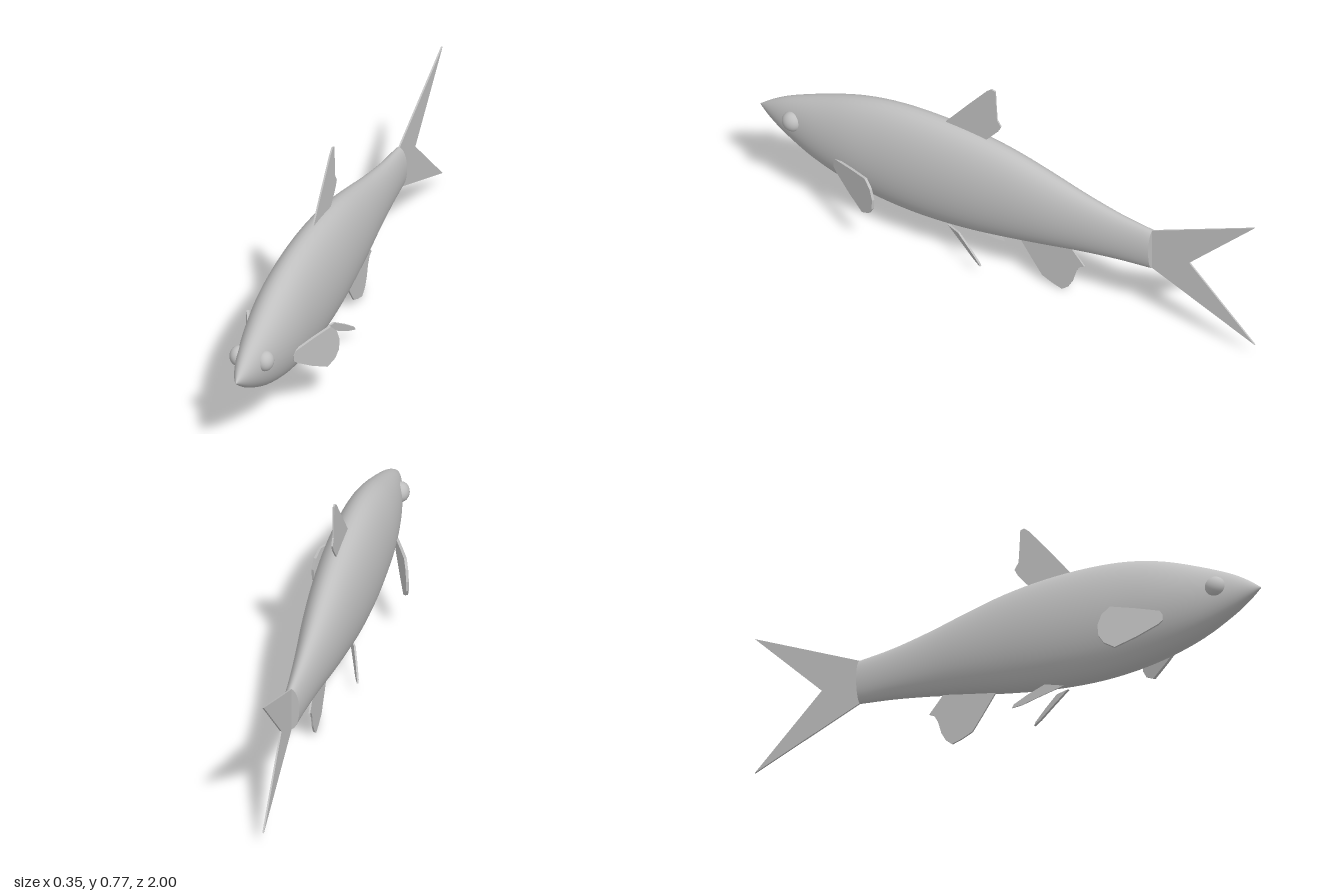
import * as THREE from 'three';

const grey = new THREE.MeshStandardMaterial({ color: 0xc0c0c0 });
grey.name = 'plain grey';

function addMesh(group, name, geometry) {
  const mesh = new THREE.Mesh(geometry, grey);
  mesh.name = name;
  group.add(mesh);
  return mesh;
}

// Flat plate of the given thickness through an outline of [x, y, z] points
function plate(outline, thickness) {
  const pts = outline.map((p) => new THREE.Vector3(...p));
  const n = new THREE.Vector3();
  pts.forEach((p, i) => n.add(p.clone().sub(pts[0]).cross(pts[(i + 1) % pts.length].clone().sub(pts[0]))));
  n.normalize();
  const u = pts[1].clone().sub(pts[0]);
  u.addScaledVector(n, -u.dot(n)).normalize();
  const v = n.clone().cross(u);
  const shape = new THREE.Shape(pts.map((p) => {
    const d = p.clone().sub(pts[0]);
    return new THREE.Vector2(d.dot(u), d.dot(v));
  }));
  const geo = new THREE.ExtrudeGeometry(shape, { depth: thickness, bevelEnabled: false });
  const origin = pts[0].clone().addScaledVector(n, -thickness / 2);
  return geo.applyMatrix4(new THREE.Matrix4().makeBasis(u, v, n).setPosition(origin));
}

// Body: elliptical rings along z, from [z, top, bottom, half width] stations
function bodyGeometry() {
  const stations = [
    [1.0, 0.336, 0.332, 0.002], [0.95, 0.373, 0.294, 0.026], [0.88, 0.413, 0.25, 0.048],
    [0.76, 0.464, 0.192, 0.074], [0.62, 0.514, 0.15, 0.092], [0.48, 0.544, 0.126, 0.098],
    [0.33, 0.554, 0.118, 0.1], [0.16, 0.547, 0.128, 0.096], [0, 0.525, 0.15, 0.086],
    [-0.15, 0.489, 0.176, 0.073], [-0.3, 0.449, 0.203, 0.056], [-0.45, 0.417, 0.224, 0.041],
    [-0.585, 0.4, 0.236, 0.03],
  ];
  const curve = (k) => new THREE.CatmullRomCurve3(
    stations.map((s) => new THREE.Vector3(s[3], s[k], s[0])), false, 'catmullrom');
  const top = curve(1), bottom = curve(2);
  const rings = 48, sides = 40, pos = [], index = [];
  for (let i = 0; i <= rings; i++) {
    const a = top.getPoint(i / rings), b = bottom.getPoint(i / rings);
    for (let j = 0; j < sides; j++) {
      const t = (j / sides) * Math.PI * 2;
      pos.push(a.x * Math.cos(t), (a.y + b.y) / 2 + ((a.y - b.y) / 2) * Math.sin(t), a.z);
    }
  }
  for (let i = 0; i < rings; i++) {
    for (let j = 0; j < sides; j++) {
      const k = (j + 1) % sides;
      const a = i * sides + j, b = i * sides + k, c = a + sides, d = b + sides;
      index.push(a, c, b, b, c, d);
    }
  }
  // Nose tip
  const tip = pos.length / 3;
  pos.push(0, 0.334, 1);
  for (let j = 0; j < sides; j++) index.push(tip, j, (j + 1) % sides);
  const geo = new THREE.BufferGeometry();
  geo.setAttribute('position', new THREE.Float32BufferAttribute(pos, 3));
  geo.setIndex(index);
  geo.computeVertexNormals();
  return geo;
}

export function createModel() {
  const fish = new THREE.Group();
  fish.name = 'fish';
  addMesh(fish, 'body', bodyGeometry());

  // Flat end of the body at the tail root
  const end = addMesh(fish, 'tailRoot', new THREE.CircleGeometry(1, 40));
  end.scale.set(0.03, 0.082, 1);
  end.rotation.y = Math.PI;
  end.position.set(0, 0.318, -0.585);

  // Fins on the centre line, as [z, y] outlines
  const middleFins = {
    tailFin: [[-0.57, 0.398], [-0.585, 0.4], [-1, 0.575], [-0.735, 0.318], [-1, 0.06], [-0.585, 0.237], [-0.57, 0.24]],
    dorsalFin: [[0.26, 0.53], [0.25, 0.553], [0.17, 0.65], [0.085, 0.75], [0.065, 0.766], [0.05, 0.762],
      [0.047, 0.7], [0.043, 0.64], [0.027, 0.615], [0.04, 0.59], [0.09, 0.532], [0.1, 0.51]],
    analFin: [[-0.04, 0.19], [-0.05, 0.157], [-0.1, 0.085], [-0.14, 0.03], [-0.18, 0.012], [-0.22, 0],
      [-0.245, 0.02], [-0.262, 0.05], [-0.275, 0.095], [-0.29, 0.123], [-0.31, 0.133], [-0.262, 0.188], [-0.24, 0.22]],
  };
  for (const [name, outline] of Object.entries(middleFins)) {
    addMesh(fish, name, plate(outline.map(([z, y]) => [0, y, z]), 0.006));
  }

  // Paired eyes and fins
  const pectoral = [[0.655, 0.27], [0.645, 0.286], [0.56, 0.3], [0.485, 0.309], [0.458, 0.28], [0.445, 0.24],
    [0.448, 0.2], [0.465, 0.172], [0.5, 0.153], [0.57, 0.19], [0.64, 0.235], [0.655, 0.25]];
  const pelvic = [[0.018, 0.118, 0.23], [0.036, 0.126, 0.165], [0.06, 0.09, 0.11], [0.079, 0.056, 0.066],
    [0.081, 0.043, 0.06], [0.062, 0.054, 0.09], [0.036, 0.085, 0.15]];
  for (const [side, s] of [['left', 1], ['right', -1]]) {
    const eye = addMesh(fish, side + 'Eye', new THREE.SphereGeometry(1, 28, 20));
    eye.scale.set(0.032, 0.037, 0.037);
    eye.position.set(s * 0.049, 0.35, 0.845);
    addMesh(fish, side + 'PectoralFin',
      plate(pectoral.map(([z, y]) => [s * (0.08 + (0.655 - z) * 0.43), y, z]), 0.01));
    addMesh(fish, side + 'PelvicFin', plate(pelvic.map(([x, y, z]) => [s * x, y, z]), 0.007));
  }
  return fish;
}
